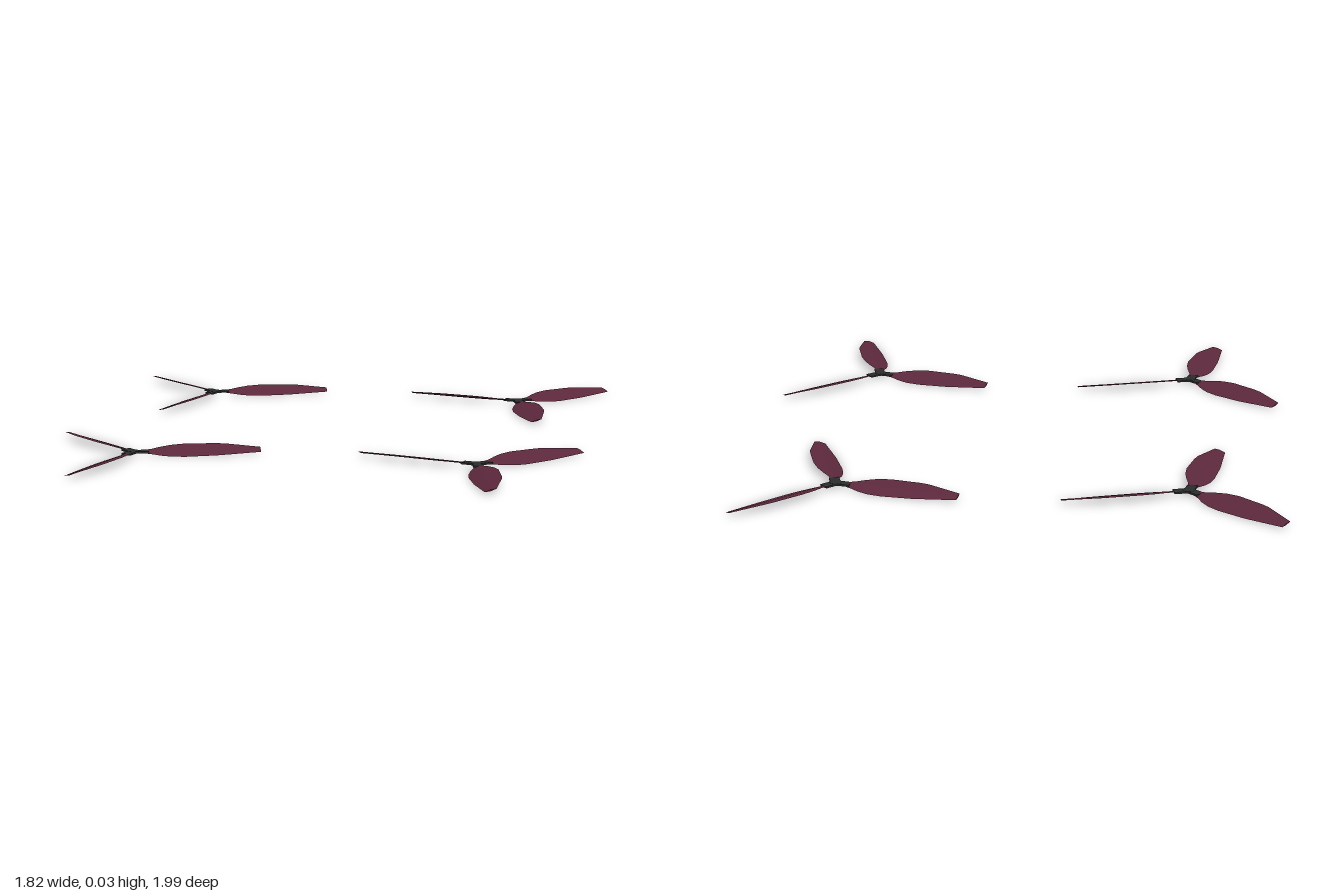
import * as THREE from 'three';

const bladeMaterial = new THREE.MeshStandardMaterial({ color: 0x5c283c, flatShading: true });
const hubMaterial = new THREE.MeshStandardMaterial({ color: 0x2a2c2c, flatShading: true });

const MID_Y = 0.0155;
const PITCH = 0.28; // height change across the chord

// Blade stations: distance from hub, high edge, low edge
const STATIONS = [
  [0.042, -0.014, 0.015],
  [0.060, -0.018, 0.020],
  [0.090, -0.032, 0.032],
  [0.127, -0.045, 0.041],
  [0.175, -0.053, 0.044],
  [0.280, -0.052, 0.038],
  [0.312, -0.049, 0.034],
  [0.431, -0.019, 0.018],
];

// Thin pitched blade: four-point lens sections joined along +x
function bladeGeometry() {
  const positions = [];
  const index = [];
  STATIONS.forEach(([u, high, low]) => {
    const mid = (high + low) / 2;
    const half = 0.0025;
    for (const [v, lift] of [[high, 0], [mid, half], [low, 0], [mid, -half]]) {
      positions.push(u, MID_Y - v * PITCH + lift, v);
    }
  });
  const quad = (a, b, c, d) => index.push(a, b, c, a, c, d);
  const last = STATIONS.length - 1;
  for (let i = 0; i < last; i++) {
    for (let k = 0; k < 4; k++) {
      const n = (k + 1) % 4;
      quad(i * 4 + k, i * 4 + n, i * 4 + 4 + n, i * 4 + 4 + k);
    }
  }
  quad(3, 2, 1, 0);
  quad(last * 4, last * 4 + 1, last * 4 + 2, last * 4 + 3);
  const geometry = new THREE.BufferGeometry();
  geometry.setAttribute('position', new THREE.Float32BufferAttribute(positions, 3));
  geometry.setIndex(index);
  const flat = geometry.toNonIndexed();
  flat.computeVertexNormals();
  return flat;
}

function part(name, geometry, material) {
  const mesh = new THREE.Mesh(geometry, material);
  mesh.name = name;
  return mesh;
}

export function createModel() {
  const model = new THREE.Group();
  model.name = 'propellerSet';

  const blade = bladeGeometry();
  const arm = new THREE.BoxGeometry(0.052, 0.006, 0.034).translate(0.026, MID_Y, 0);
  const core = new THREE.CylinderGeometry(0.021, 0.021, 0.007, 12).translate(0, MID_Y, 0);

  // Three blades on a flat three-armed hub
  function propeller(name, x, z, degrees) {
    const group = new THREE.Group();
    group.name = name;
    group.add(part('hubCore', core, hubMaterial));
    for (let i = 0; i < 3; i++) {
      const spoke = new THREE.Group();
      spoke.name = 'spoke';
      spoke.add(part('hubArm', arm, hubMaterial), part('blade', blade, bladeMaterial));
      spoke.rotation.y = -THREE.MathUtils.degToRad(degrees + i * 120);
      group.add(spoke);
    }
    group.position.set(x, 0, z);
    model.add(group);
  }

  propeller('backRightPropeller', -0.596, -0.688, -15.8);
  propeller('frontRightPropeller', -0.596, 0.557, -15.8);
  propeller('backLeftPropeller', 0.574, -0.688, 75);
  propeller('frontLeftPropeller', 0.574, 0.56, 77.4);

  return model;
}
